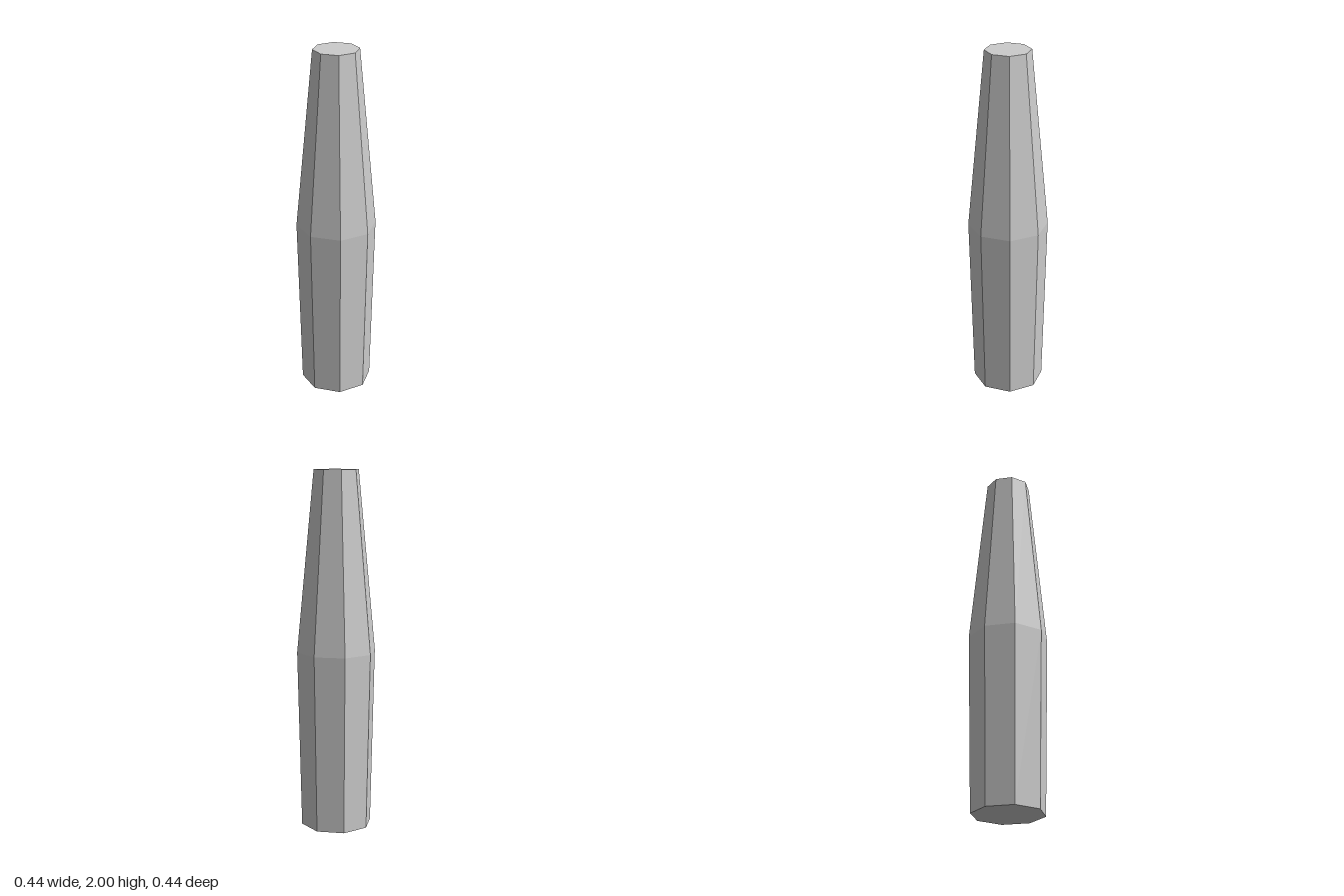
import * as THREE from 'three';

const SIDES = 8;
const HEIGHT = 2;
const BOTTOM_RADIUS = 0.2;
const MIDDLE_RADIUS = 0.222;
const TOP_RADIUS = 0.125;

export function createModel() {
  const group = new THREE.Group();
  group.name = 'taperedPost';

  // Capped eight-sided post with one ring halfway up
  let geometry = new THREE.CylinderGeometry(TOP_RADIUS, BOTTOM_RADIUS, HEIGHT, SIDES, 2);

  // Swell the middle ring
  const pos = geometry.attributes.position;
  const swell = MIDDLE_RADIUS / ((TOP_RADIUS + BOTTOM_RADIUS) / 2);
  for (let i = 0; i < pos.count; i++) {
    if (Math.abs(pos.getY(i)) < 0.01) {
      pos.setX(i, pos.getX(i) * swell);
      pos.setZ(i, pos.getZ(i) * swell);
    }
  }

  // Faceted normals, standing on the ground
  geometry = geometry.toNonIndexed();
  geometry.computeVertexNormals();
  geometry.translate(0, HEIGHT / 2, 0);

  const material = new THREE.MeshStandardMaterial({ color: 0xcccccc, flatShading: true });
  const post = new THREE.Mesh(geometry, material);
  post.name = 'post';
  group.add(post);
  return group;
}
